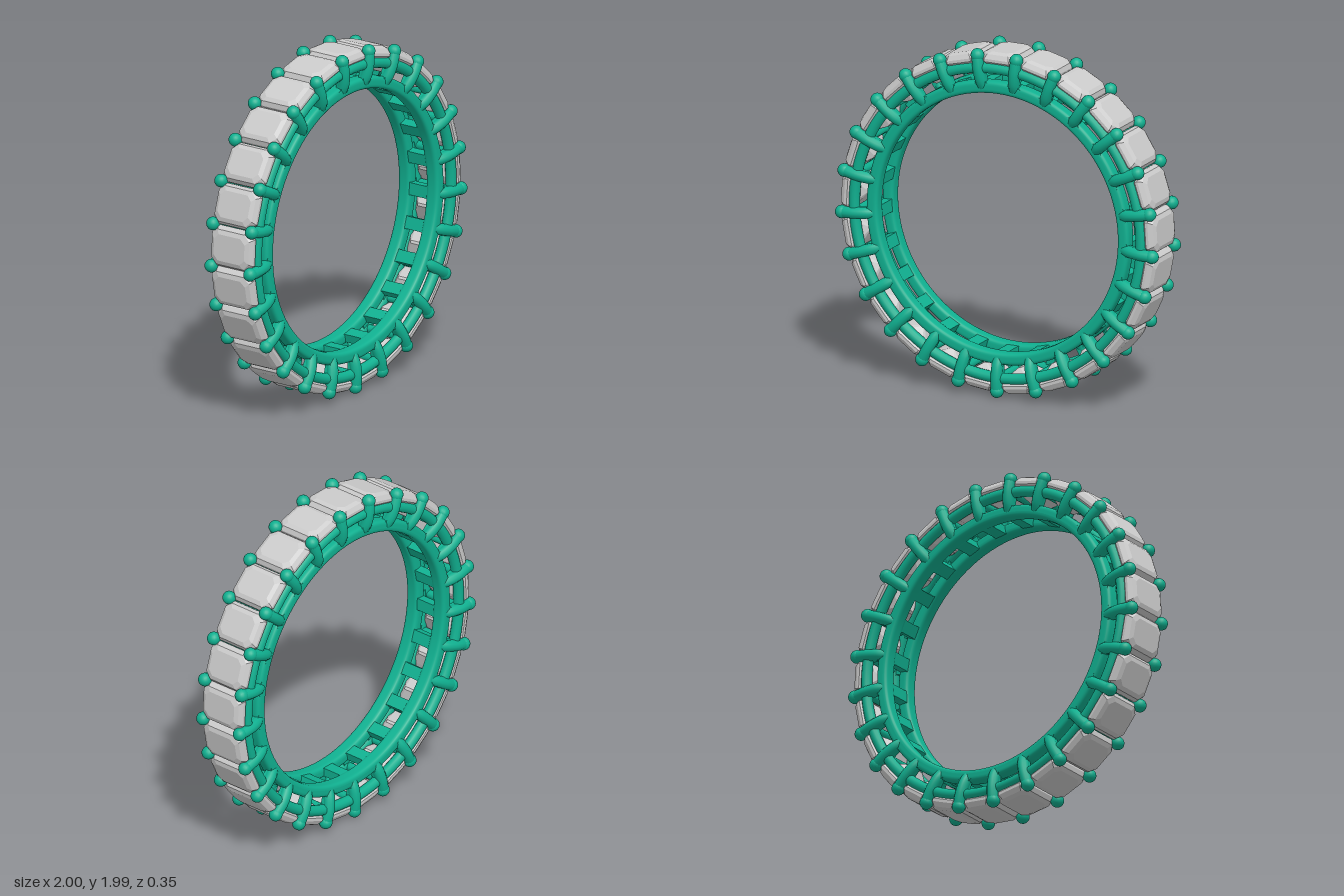
import * as THREE from 'three';

const COUNT = 25;
const STEP = (Math.PI * 2) / COUNT;
const metal = new THREE.MeshStandardMaterial({ color: 0x10b090 });
const stoneMat = new THREE.MeshStandardMaterial({ color: 0xcccccc, flatShading: true });

function add(parent, name, geometry, material = metal) {
  const mesh = new THREE.Mesh(geometry, material);
  mesh.name = name;
  parent.add(mesh);
  return mesh;
}

// Ring of rounded-rectangle section, turned about z
function railGeometry(r0, r1, z0, z1, c) {
  const s = new THREE.Shape();
  s.moveTo(r0 + c, z0);
  s.lineTo(r1 - c, z0);
  s.quadraticCurveTo(r1, z0, r1, z0 + c);
  s.lineTo(r1, z1 - c);
  s.quadraticCurveTo(r1, z1, r1 - c, z1);
  s.lineTo(r0 + c, z1);
  s.quadraticCurveTo(r0, z1, r0, z1 - c);
  s.lineTo(r0, z0 + c);
  s.quadraticCurveTo(r0, z0, r0 + c, z0);
  return new THREE.LatheGeometry(s.getPoints(5), 150).rotateX(Math.PI / 2);
}

// Bar along y whose ends flare into the rails, centred on the origin
function flaredBar(length, waist, end, depth) {
  const h = length / 2, w = waist / 2, e = end / 2, f = Math.min(e - w, h);
  const s = new THREE.Shape();
  s.moveTo(-e, -h);
  s.lineTo(e, -h);
  s.quadraticCurveTo(w, -h, w, -h + f);
  s.lineTo(w, h - f);
  s.quadraticCurveTo(w, h, e, h);
  s.lineTo(-e, h);
  s.quadraticCurveTo(-w, h, -w, h - f);
  s.lineTo(-w, -h + f);
  s.quadraticCurveTo(-w, -h, -e, -h);
  return new THREE.ExtrudeGeometry(s, { depth, bevelEnabled: false, curveSegments: 5 })
    .translate(0, 0, -depth / 2);
}

// Step-cut stone: octagons stacked from keel to table
function stoneGeometry() {
  const levels = [ // radius, half width, half length, corner cut
    [0.838, 0.008, 0.06, 0.004],
    [0.885, 0.07, 0.105, 0.02],
    [0.925, 0.115, 0.143, 0.04],
    [0.942, 0.115, 0.143, 0.04],
    [0.967, 0.1, 0.128, 0.036],
    [0.978, 0.075, 0.105, 0.03],
  ];
  const rings = levels.map(([y, a, b, c]) => [
    [a, y, b - c], [a, y, c - b], [a - c, y, -b], [c - a, y, -b],
    [-a, y, c - b], [-a, y, b - c], [c - a, y, b], [a - c, y, b],
  ]);
  const pos = [];
  const tri = (...pts) => pts.forEach((p) => pos.push(...p));
  for (let k = 0; k + 1 < rings.length; k++) {
    for (let i = 0; i < 8; i++) {
      const j = (i + 1) % 8, lo = rings[k], hi = rings[k + 1];
      tri(lo[i], lo[j], hi[j]);
      tri(lo[i], hi[j], hi[i]);
    }
  }
  const keel = rings[0], table = rings[rings.length - 1];
  for (let i = 1; i < 7; i++) {
    tri(table[0], table[i], table[i + 1]);
    tri(keel[0], keel[i + 1], keel[i]);
  }
  const g = new THREE.BufferGeometry();
  g.setAttribute('position', new THREE.Float32BufferAttribute(pos, 3));
  g.computeVertexNormals();
  return g;
}

export function createModel() {
  const model = new THREE.Group();
  model.name = 'eternityRing';
  const ring = new THREE.Group();
  ring.name = 'ring';
  ring.position.y = 1;
  model.add(ring);

  // Inner and outer rails on both faces
  for (const s of [1, -1]) {
    const [z0, z1] = s > 0 ? [0.055, 0.138] : [-0.138, -0.055];
    add(ring, 'innerRail', railGeometry(0.743, 0.812, z0, z1, 0.025));
    add(ring, 'outerRail', new THREE.TorusGeometry(0.888, 0.031, 12, 150)).position.z = s * 0.122;
  }

  // Shared geometry for the repeated parts
  const stone = stoneGeometry();
  const innerBar = flaredBar(0.15, 0.07, 0.13, 0.05).rotateX(Math.PI / 2);
  const outerBar = new THREE.CylinderGeometry(0.024, 0.024, 0.24, 10).rotateX(Math.PI / 2);
  const web = flaredBar(0.075, 0.058, 0.1, 0.035);
  const bead = new THREE.SphereGeometry(0.038, 16, 12);
  const prongs = [1, -1].map((s) => new THREE.TubeGeometry(
    new THREE.CatmullRomCurve3([
      [0.775, 0.105], [0.82, 0.128], [0.88, 0.139], [0.93, 0.138], [0.962, 0.134],
    ].map(([r, z]) => new THREE.Vector3(0, r, s * z))), 14, 0.033, 12));

  for (let k = 0; k < COUNT; k++) {
    add(ring, 'stone', stone, stoneMat).rotation.z = k * STEP;

    // Crossbars and a pair of prongs between neighbouring stones
    const setting = new THREE.Group();
    setting.name = 'setting';
    setting.rotation.z = (k + 0.5) * STEP;
    ring.add(setting);
    add(setting, 'innerCrossbar', innerBar).position.y = 0.775;
    add(setting, 'outerCrossbar', outerBar).position.y = 0.893;
    [1, -1].forEach((s, i) => {
      add(setting, 'prong', prongs[i]);
      add(setting, 'prongTip', bead).position.set(0, 0.962, s * 0.134);
      add(setting, 'prongWeb', web).position.set(0, 0.836, s * 0.118);
    });
  }
  return model;
}
